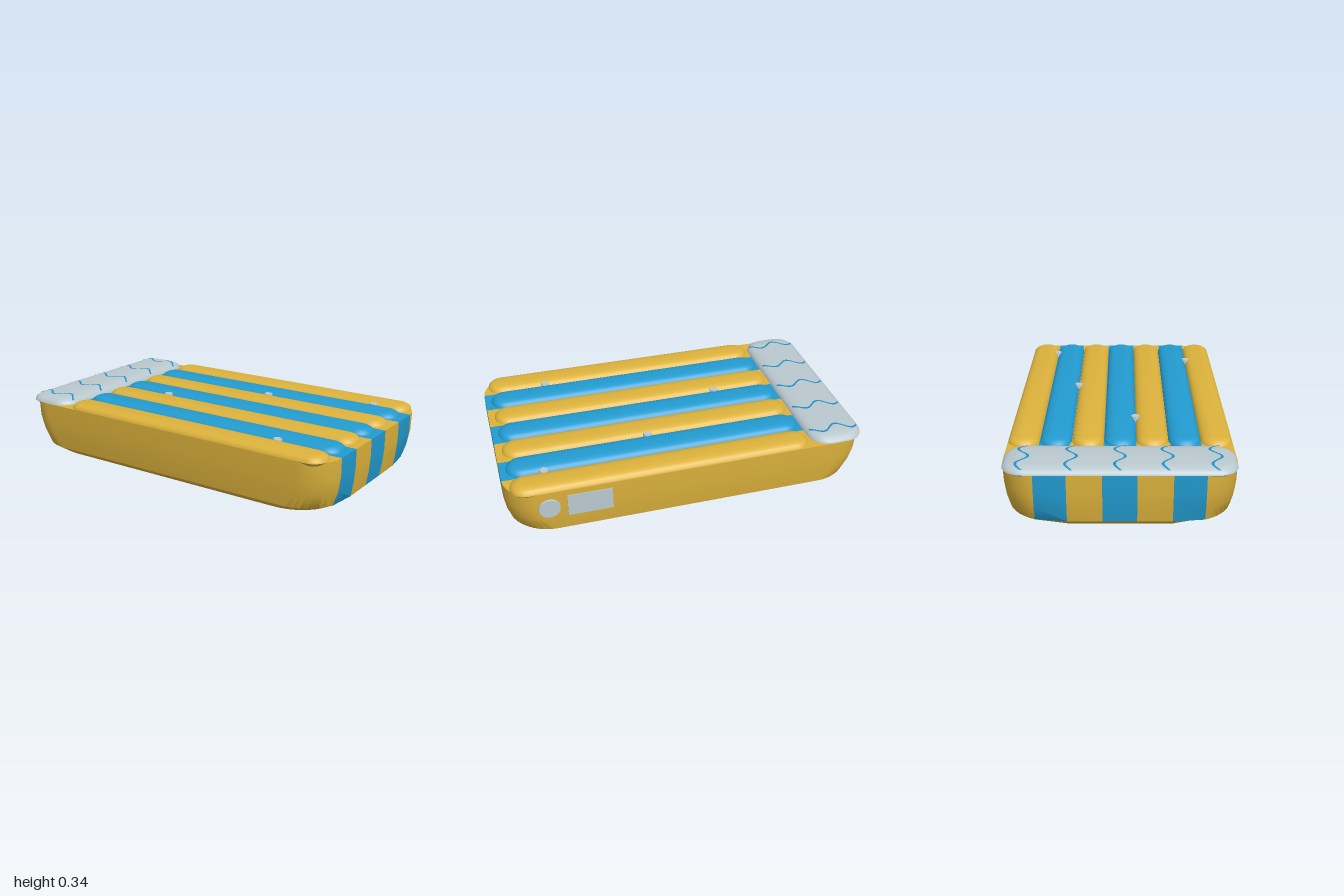
import * as THREE from 'three';
import { toCreasedNormals } from 'three/addons/utils/BufferGeometryUtils.js';

const mat = (name, color, side = THREE.FrontSide) => {
  const m = new THREE.MeshStandardMaterial({ color, side });
  m.name = name;
  return m;
};

// One end of a rounded rectangle, from -z to +z; breaks are fixed z lines for stripes
function endCurve({ hx, hz, r }, breaks) {
  const last = breaks.length ? breaks[breaks.length - 1] : 0;
  const a0 = breaks.length ? Math.asin(Math.max(0, (last - hz + r) / r)) : 0;
  const half = breaks.slice(0, -1).map((z) => [hx, z]);
  for (let k = 0; k <= 8; k++) {
    const a = a0 + ((Math.PI / 2 - a0) * k) / 8;
    half.push([hx - r + r * Math.cos(a), hz - r + r * Math.sin(a)]);
  }
  return [...half.map(([x, z]) => [x, -z]).reverse(), ...half];
}

// Closed loft through rounded rectangles stacked in y; striped(z, y) picks the second material
function loft(rings, crease, breaks = [], striped = () => false) {
  const lists = [[], []];
  const quad = (a, b, c, d) => {
    const z = (a[2] + b[2] + c[2] + d[2]) / 4;
    const y = (a[1] + b[1] + c[1] + d[1]) / 4;
    lists[striped(z, y) ? 1 : 0].push(...a, ...b, ...c, ...a, ...c, ...d);
  };
  const sides = rings.map((ring) => {
    const e = endCurve(ring, breaks);
    return { R: e.map(([x, z]) => [x, ring.y, z]), L: e.map(([x, z]) => [-x, ring.y, z]) };
  });
  const loops = sides.map(({ R, L }) => [...R, ...[...L].reverse()]);
  for (let j = 0; j + 1 < loops.length; j++) {
    const lo = loops[j], up = loops[j + 1], n = lo.length;
    for (let i = 0; i < n; i++) quad(lo[i], up[i], up[(i + 1) % n], lo[(i + 1) % n]);
  }
  const bot = sides[0], top = sides[sides.length - 1];
  for (let i = 0; i + 1 < top.R.length; i++) {
    quad(top.L[i], top.L[i + 1], top.R[i + 1], top.R[i]);
    quad(bot.L[i], bot.R[i], bot.R[i + 1], bot.L[i + 1]);
  }
  const geo = new THREE.BufferGeometry();
  geo.setAttribute('position', new THREE.Float32BufferAttribute([...lists[0], ...lists[1]], 3));
  geo.addGroup(0, lists[0].length / 3, 0);
  geo.addGroup(lists[0].length / 3, lists[1].length / 3, 1);
  return toCreasedNormals(geo, crease);
}

// Puffy cushion: profile is a list of [y, inset]
const cushion = (hx, hz, r, profile) =>
  loft(profile.map(([y, i]) => ({ hx: hx - i, hz: hz - i, r: Math.max(0.02, r - i), y })), 0.9);

export function createModel() {
  const group = new THREE.Group();
  const yellow = mat('yellow', 0xdcb23c);
  const blue = mat('blue', 0x229bd0);
  const blueLine = mat('wave blue', 0x1f90c4, THREE.DoubleSide);
  const grey = mat('pale grey', 0xbac9cf);
  const add = (name, geo, material, x = 0, y = 0, z = 0) => {
    const m = new THREE.Mesh(geo, material);
    m.name = name;
    m.position.set(x, y, z);
    group.add(m);
    return m;
  };

  // Striped base: bands run up both ends and over the flat top
  const base = [
    { y: 0, hx: 0.93, hz: 0.515, r: 0.25 },
    { y: 0.04, hx: 0.98, hz: 0.565, r: 0.24 },
    { y: 0.12, hx: 0.993, hz: 0.575, r: 0.2 },
    { y: 0.2, hx: 1, hz: 0.58, r: 0.175 },
    { y: 0.3, hx: 1, hz: 0.583, r: 0.17 },
  ];
  const isBlue = (z, y) => {
    const a = Math.abs(z);
    return y > 0.04 && (a < 0.085 || (a > 0.26 && a < 0.42));
  };
  add('base', loft(base, 0.7, [0.085, 0.26, 0.42], isBlue), [yellow, blue]);

  // Seven air tubes in alternating colours
  const tubeProfile = [[0.285, 0.012], [0.3, 0], [0.31, 0.003], [0.32, 0.013], [0.328, 0.028], [0.332, 0.05]];
  const tube = cushion(0.82, 0.0825, 0.08, tubeProfile);
  for (let i = -3; i <= 3; i++) add('airTube', tube, i % 2 ? yellow : blue, 0.145, 0, i * 0.1667);

  // Pillow across the left end of the top
  const pillowProfile = [[0.285, 0.02], [0.3, 0], [0.312, 0.004], [0.324, 0.02], [0.331, 0.042], [0.336, 0.08]];
  add('pillow', cushion(0.155, 0.58, 0.11, pillowProfile), grey, -0.845);

  // Wavy lines that follow the pillow's curved top
  const pillowTop = (inset) => {
    for (let k = 1; k + 1 < pillowProfile.length; k++) {
      const [y0, i0] = pillowProfile[k], [y1, i1] = pillowProfile[k + 1];
      if (inset <= i1) return y0 + ((y1 - y0) * (inset - i0)) / (i1 - i0);
    }
    return 0.336;
  };
  const wave = new THREE.PlaneGeometry(0.28, 0.014, 48, 1).rotateX(-Math.PI / 2);
  const p = wave.attributes.position;
  for (let i = 0; i < p.count; i++) {
    const x = p.getX(i);
    p.setY(i, pillowTop(0.155 - Math.abs(x)) + 0.002);
    p.setZ(i, p.getZ(i) - 0.027 * Math.cos(((x + 0.095) * Math.PI * 2) / 0.165));
  }
  wave.computeVertexNormals();
  for (const z of [-0.48, -0.24, 0, 0.235, 0.475]) add('pillowWave', wave, blueLine, -0.845, 0, z);

  // Small pale studs in the seams between tubes
  const stud = new THREE.CylinderGeometry(0.024, 0.03, 0.03, 6);
  for (const [x, z] of [[0.17, -0.25], [0.775, -0.42], [-0.325, 0.083], [0.635, 0.42]])
    add('seamStud', stud, grey, x, 0.314, z);

  // Valve cap and blank label on the back
  const cap = new THREE.CylinderGeometry(0.056, 0.06, 0.016, 28).rotateX(-Math.PI / 2);
  add('valveCap', cap, grey, 0.78, 0.2, -0.581);
  add('backLabel', new THREE.BoxGeometry(0.24, 0.13, 0.009), grey, 0.565, 0.2, -0.582);

  return group;
}
